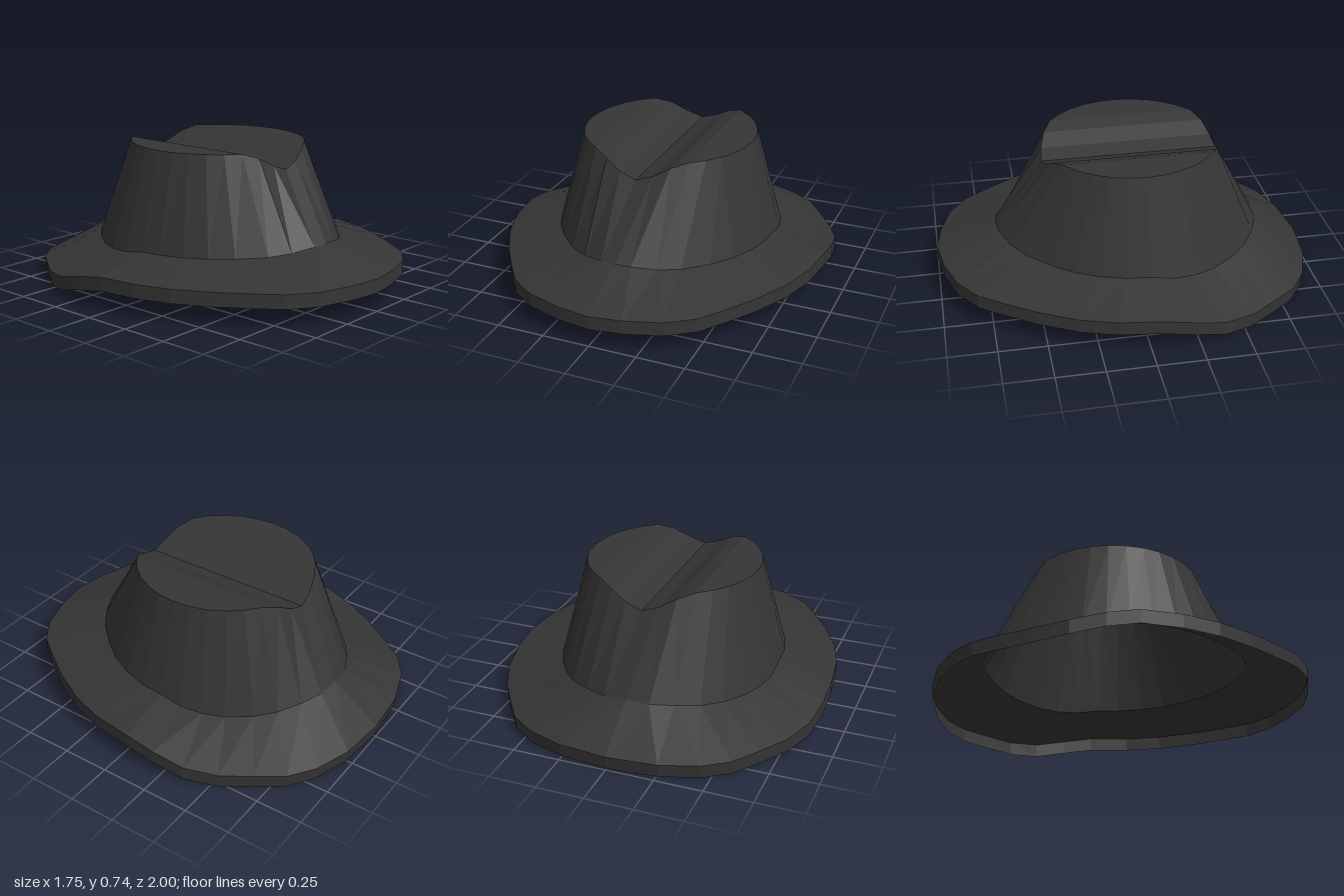
import * as THREE from 'three';

const HALF = 16; // segments from back centre to front centre

// Half outlines as [x, y, z], running from back centre round the left side to front centre
const rimTop = [
  [0, 0.075, -1], [0.26, 0.075, -0.975], [0.455, 0.075, -0.91], [0.585, 0.076, -0.82],
  [0.68, 0.078, -0.69], [0.78, 0.08, -0.54], [0.85, 0.1, -0.38], [0.875, 0.14, -0.21],
  [0.875, 0.168, -0.05], [0.85, 0.17, 0.16], [0.79, 0.17, 0.35], [0.69, 0.17, 0.54],
  [0.59, 0.17, 0.69], [0.495, 0.17, 0.82], [0.36, 0.17, 0.915], [0.17, 0.17, 0.975], [0, 0.17, 1],
];
const crownBase = [
  [0, 0.25, -0.74], [0.12, 0.245, -0.73], [0.235, 0.235, -0.68], [0.345, 0.22, -0.61],
  [0.43, 0.207, -0.52], [0.51, 0.2, -0.4], [0.56, 0.205, -0.29], [0.585, 0.215, -0.17],
  [0.585, 0.235, -0.05], [0.58, 0.24, 0.07], [0.545, 0.243, 0.2], [0.49, 0.246, 0.32],
  [0.41, 0.25, 0.43], [0.3, 0.258, 0.55], [0.2, 0.27, 0.62], [0.08, 0.287, 0.67], [0, 0.29, 0.68],
];

// The rim's lower edge drops straight down, tucked in slightly at the back
const rimBottom = rimTop.map(([x, y, z]) => [x, Math.max(0, y - 0.073), z < -0.5 ? z * 0.988 : z]);

// Round crown top, pinched down along the centre line
const crease = [0.64, 0.67, 0.718];
const crownTop = Array.from({ length: HALF + 1 }, (_, i) => {
  const a = (i / HALF) * Math.PI;
  const y = crease[Math.min(i, HALF - i)] ?? 0.745;
  return [0.46 * Math.sin(a), y, -0.05 - 0.47 * Math.cos(a)];
});

// Mirror a half outline into a closed ring
function fullRing(half) {
  const mirrored = half.slice(1, -1).reverse().map(([x, y, z]) => [-x, y, z]);
  return [...half, ...mirrored];
}

function meshFromTriangles(points, name, material) {
  const geometry = new THREE.BufferGeometry();
  geometry.setAttribute('position', new THREE.Float32BufferAttribute(points.flat(), 3));
  geometry.computeVertexNormals();
  const mesh = new THREE.Mesh(geometry, material);
  mesh.name = name;
  return mesh;
}

// Band of faces between a lower and an upper ring
function band(lowerHalf, upperHalf, name, material) {
  const a = fullRing(lowerHalf), b = fullRing(upperHalf), tris = [];
  for (let i = 0; i < a.length; i++) {
    const j = (i + 1) % a.length;
    tris.push(a[i], b[i], a[j], a[j], b[i], b[j]);
  }
  return meshFromTriangles(tris, name, material);
}

// Cap made of strips running front to back, so the crease stays straight
function creasedCap(half, name, material) {
  const tris = [];
  const flip = ([x, y, z]) => [-x, y, z];
  for (let i = 0; i < HALF / 2; i++) {
    const back = half[i], backOut = half[i + 1];
    const front = half[HALF - i], frontOut = half[HALF - i - 1];
    const side = [back, front, frontOut];
    if (i + 1 < HALF / 2) side.push(back, frontOut, backOut);
    tris.push(...side, ...side.map(flip).reverse());
  }
  return meshFromTriangles(tris, name, material);
}

export function createModel() {
  const felt = new THREE.MeshStandardMaterial({
    color: 0x353535, flatShading: true, side: THREE.DoubleSide,
  });
  const hat = new THREE.Group();
  hat.name = 'hat';
  hat.add(
    band(rimBottom, rimTop, 'brimEdge', felt),
    band(rimTop, crownBase, 'brim', felt),
    band(crownBase, crownTop, 'crown', felt),
    creasedCap(crownTop, 'crownTop', felt),
  );
  return hat;
}
